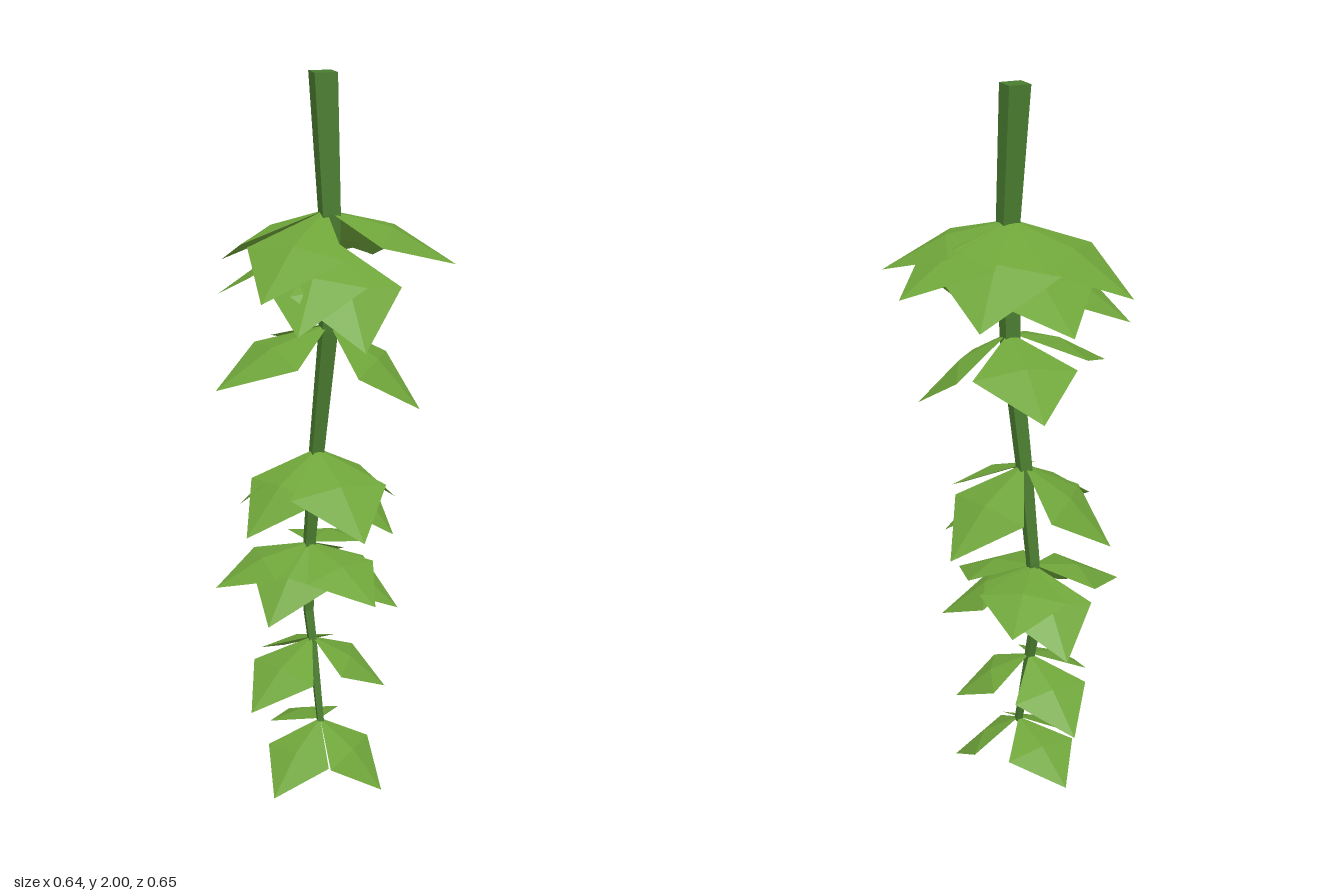
import * as THREE from 'three';

const leafMaterial = new THREE.MeshStandardMaterial({ color: 0x6fa53a, flatShading: true, side: THREE.DoubleSide });
leafMaterial.name = 'leaf green';
const stemMaterial = new THREE.MeshStandardMaterial({ color: 0x4a7c2f, flatShading: true });
stemMaterial.name = 'stem green';

// Stem rings from top to bottom: x, y, z, radius
const STEM = [
  [0, 2, 0.017, 0.042], [0.02, 1.65, 0.02, 0.033], [0.012, 1.34, 0.012, 0.029],
  [-0.035, 1.0, -0.01, 0.024], [-0.068, 0.72, -0.026, 0.02], [-0.072, 0.5, -0.024, 0.017],
  [-0.055, 0.4, -0.017, 0.015], [-0.014, 0.17, 0.01, 0.012],
];

// Leaf clusters: the node each grows from, and the tip of every leaf
const CLUSTERS = [
  { node: [0.01, 1.66, 0.02], tips: [[-0.322, 1.49, 0], [0.32, 1.53, -0.1], [0.2, 1.51, -0.265], [0, 1.48, 0.322], [-0.035, 1.47, -0.325]] },
  { node: [0.02, 1.59, 0.02], tips: [[-0.3, 1.41, 0.055], [0.08, 1.4, 0.285], [0.225, 1.36, 0.205], [-0.24, 1.45, -0.225]] },
  { node: [0.015, 1.36, 0.012], tips: [[0.256, 1.15, -0.04], [-0.172, 1.22, 0.27], [-0.17, 1.22, -0.238]] },
  { node: [-0.035, 1.0, -0.01], tips: [[-0.28, 0.79, 0], [0.205, 0.835, 0.165], [0.185, 0.78, -0.04], [-0.11, 0.81, 0.235], [0.085, 0.8, -0.245]] },
  { node: [-0.068, 0.71, -0.025], tips: [[-0.11, 0.635, -0.305], [0.18, 0.54, -0.085], [-0.232, 0.54, -0.215], [-0.065, 0.545, 0.205], [0.19, 0.61, 0.07], [-0.255, 0.605, 0.17]] },
  { node: [-0.057, 0.42, -0.018], tips: [[-0.115, 0.275, 0.22], [0.14, 0.28, -0.09], [-0.242, 0.275, -0.17]] },
  { node: [-0.015, 0.18, 0.01], tips: [[-0.045, 0.02, 0.22], [0.185, 0.003, 0.01], [-0.21, 0.08, -0.14]] },
];

function polyGeometry(points, index) {
  const geometry = new THREE.BufferGeometry();
  geometry.setAttribute('position', new THREE.Float32BufferAttribute(points.flatMap((p) => [p.x, p.y, p.z]), 3));
  geometry.setIndex(index);
  const flat = geometry.toNonIndexed();
  flat.computeVertexNormals();
  return flat;
}

// Diamond-section stem lofted through the rings
function makeStem() {
  const points = [];
  const index = [];
  for (const [x, y, z, r] of STEM) {
    for (let k = 0; k < 4; k++) {
      const a = (k * Math.PI) / 2;
      points.push(new THREE.Vector3(x + r * Math.sin(a), y, z + r * Math.cos(a)));
    }
  }
  for (let i = 0; i < STEM.length - 1; i++) {
    for (let k = 0; k < 4; k++) {
      const a = i * 4 + k;
      const b = i * 4 + ((k + 1) % 4);
      index.push(a, a + 4, b, b, a + 4, b + 4);
    }
  }
  const e = (STEM.length - 1) * 4;
  index.push(0, 1, 2, 0, 2, 3, e, e + 2, e + 1, e, e + 3, e + 2);
  const stem = new THREE.Mesh(polyGeometry(points, index), stemMaterial);
  stem.name = 'stem';
  return stem;
}

// Four-cornered leaf, bulging slightly at its middle
function makeLeaf(node, tipPoint) {
  const base = new THREE.Vector3(...node);
  const tip = new THREE.Vector3(...tipPoint);
  const axis = tip.clone().sub(base);
  const length = axis.length();
  const side = new THREE.Vector3(axis.z, 0, -axis.x).normalize();
  const up = axis.clone().normalize().cross(side).normalize();
  const centre = base.clone().lerp(tip, 0.48);
  const right = centre.clone().addScaledVector(side, length * 0.41);
  const left = centre.clone().addScaledVector(side, -length * 0.41);
  centre.addScaledVector(up, length * 0.07);
  const points = [base, right, tip, left, centre];
  const leaf = new THREE.Mesh(polyGeometry(points, [0, 1, 4, 1, 2, 4, 2, 3, 4, 3, 0, 4]), leafMaterial);
  leaf.name = 'leaf';
  return leaf;
}

export function createModel() {
  const vine = new THREE.Group();
  vine.name = 'hangingVine';
  vine.add(makeStem());
  CLUSTERS.forEach(({ node, tips }, i) => {
    const cluster = new THREE.Group();
    cluster.name = `leafCluster${i + 1}`;
    for (const tip of tips) cluster.add(makeLeaf(node, tip));
    vine.add(cluster);
  });
  return vine;
}
